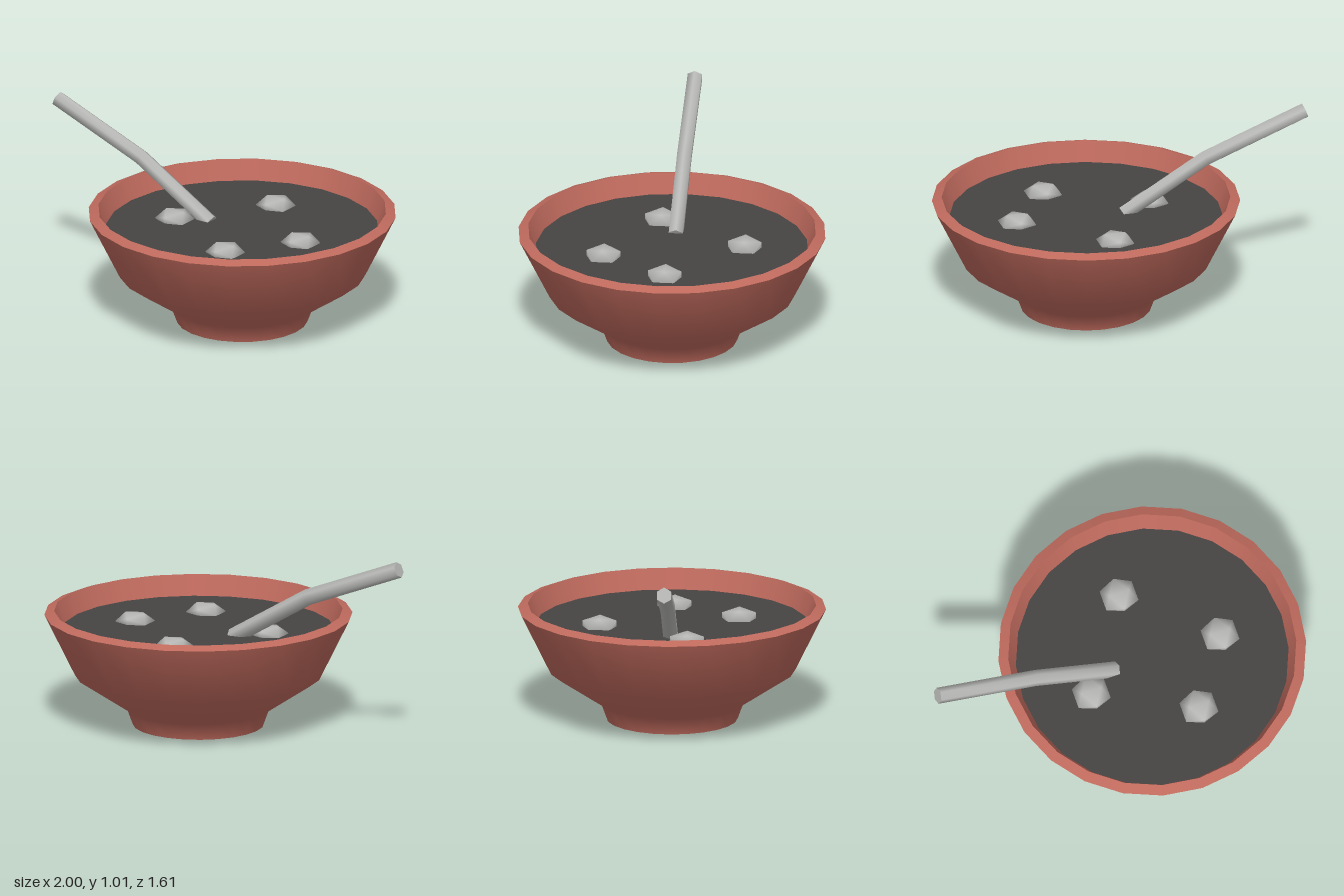
import * as THREE from 'three';
import { mergeVertices } from 'three/addons/utils/BufferGeometryUtils.js';

const CX = 0.197; // bowl axis
const SIDES = 24;

export function createModel() {
  const group = new THREE.Group();
  group.name = 'bowlWithSpoon';

  const material = (name, color) => {
    const m = new THREE.MeshStandardMaterial({ color });
    m.name = name;
    return m;
  };
  const clay = material('clay', 0xbf6a5d);
  const broth = material('darkBroth', 0x474443);
  const grey = material('paleGrey', 0xb8b8b6);

  const add = (name, geometry, mat, x = 0, y = 0, z = 0) => {
    const mesh = new THREE.Mesh(geometry, mat);
    mesh.name = name;
    mesh.position.set(x, y, z);
    group.add(mesh);
    return mesh;
  };
  const lathe = (...pts) =>
    new THREE.LatheGeometry(pts.map(([r, y]) => new THREE.Vector2(r, y)), SIDES);

  // Bowl: outer wall, sloping rim, inner wall and underside
  add('bowlOuter', lathe([0.342, 0], [0.375, 0.09], [0.645, 0.27], [0.803, 0.592]), clay, CX);
  add('bowlRim', lathe([0.803, 0.592], [0.752, 0.612]), clay, CX);
  add('bowlInner', lathe([0.752, 0.612], [0.71, 0.5]), clay, CX);
  add('bowlBase', new THREE.CircleGeometry(0.342, SIDES).rotateX(Math.PI / 2), clay, CX);

  // Broth surface
  add('broth', new THREE.CircleGeometry(0.712, SIDES).rotateX(-Math.PI / 2), broth, CX, 0.505);

  // Floating lumps: smooth, flattened icosahedra
  let lump = new THREE.IcosahedronGeometry(0.104, 0);
  lump.deleteAttribute('normal');
  lump.deleteAttribute('uv');
  lump = mergeVertices(lump, 1e-4);
  lump.scale(1, 0.5, 1);
  lump.computeVertexNormals();
  [[0.143, -0.375], [0.57, 0], [0.335, 0.345], [-0.17, 0.09]].forEach(([x, z], i) =>
    add('lump' + (i + 1), lump, grey, x, 0.508, z));

  // Bent six-sided handle: each ring of a cylinder is moved onto the path
  const path = [[-0.005, 0.492], [-0.447, 0.757], [-0.985, 0.968]].map(p => new THREE.Vector2(...p));
  const dirs = [
    path[1].clone().sub(path[0]).normalize(),
    path[2].clone().sub(path[0]).normalize(),
    path[2].clone().sub(path[1]).normalize(),
  ];
  const handle = new THREE.CylinderGeometry(0.0425, 0.0425, 2, 6, 2);
  const pos = handle.attributes.position;
  for (let i = 0; i < pos.count; i++) {
    const k = Math.round(pos.getY(i) + 1);
    const side = pos.getZ(i);
    pos.setXYZ(i, path[k].x - dirs[k].y * side, path[k].y + dirs[k].x * side, pos.getX(i));
  }
  handle.computeVertexNormals();
  add('spoonHandle', handle, grey);

  return group;
}
